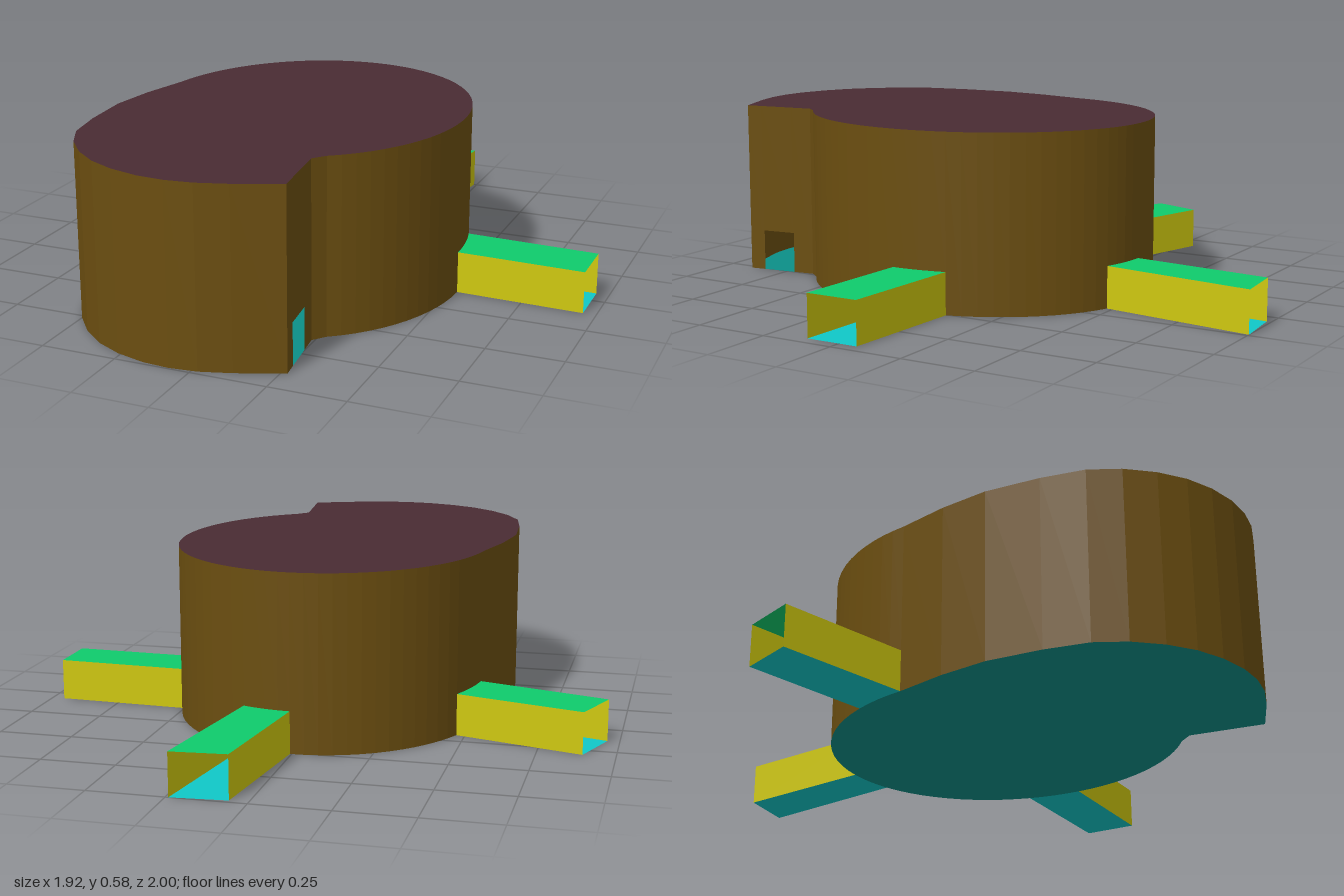
import * as THREE from 'three';

const HEIGHT = 0.585, PASSAGE = 0.14;

const paint = (color) => new THREE.MeshStandardMaterial({ color, side: THREE.DoubleSide, flatShading: true });

// Points [x, z] along the elliptical part of the plan, angle 0 at the back
function arc(from, to, steps) {
  const points = [];
  for (let i = 0; i <= steps; i++) {
    const t = from + (to - from) * i / steps;
    points.push([0.53 * Math.sin(t), 0.09 - 0.6 * Math.cos(t)]);
  }
  return points;
}

// Thin vertical strip following plan points
function strip(points, y0, y1) {
  const pos = [];
  for (let i = 0; i + 1 < points.length; i++) {
    const [ax, az] = points[i], [bx, bz] = points[i + 1];
    pos.push(ax, y0, az, ax, y1, az, bx, y1, bz, ax, y0, az, bx, y1, bz, bx, y0, bz);
  }
  const geometry = new THREE.BufferGeometry();
  geometry.setAttribute('position', new THREE.Float32BufferAttribute(pos, 3));
  geometry.computeVertexNormals();
  return geometry;
}

// Flat horizontal sheet with a plan outline
function sheet(points, y) {
  const shape = new THREE.Shape(points.map(([x, z]) => new THREE.Vector2(x, -z)));
  return new THREE.ShapeGeometry(shape).rotateX(-Math.PI / 2).translate(0, y, 0);
}

export function createModel() {
  const model = new THREE.Group();
  const wallPaint = paint(0x6b4e10), roofPaint = paint(0x4a2c33), floorPaint = paint(0x0c8f88);
  const passageWall = paint(0xcfc80f), passageRoof = paint(0x0fcb6c), passageFloor = paint(0x10c8c8);

  const add = (parent, name, geometry, material) => {
    const mesh = new THREE.Mesh(geometry, material);
    mesh.name = name;
    parent.add(mesh);
  };

  // Mouths where the passages meet the room
  const backMouth = arc(0.01, 0.317, 4);
  const leftMouth = arc(1.275, 1.587, 4);
  const rightMouth = arc(-1.42, -1.1, 4);

  // Plan outline in order, clockwise from above; open pieces start above a doorway
  const notch = [0.24, 0.645], tip = [0.27, 0.895];
  const doorA = [0.249, 0.72], doorB = [0.263, 0.84];
  const bulge = [
    tip, [0.12, 0.955], [0.02, 0.985], [-0.07, 0.995], [-0.16, 0.988], [-0.26, 0.96],
    [-0.35, 0.915], [-0.43, 0.85], [-0.5, 0.765], [-0.55, 0.665], [-0.575, 0.52],
    [-0.587, 0.335], [-0.565, 0.17], rightMouth[0],
  ];
  const pieces = [
    { points: backMouth, open: true },
    { points: arc(0.317, 1.275, 11) },
    { points: leftMouth, open: true },
    { points: [...arc(1.587, 2.6, 12), notch] },
    { points: [notch, doorA] },
    { points: [doorA, doorB], open: true },
    { points: [doorB, tip] },
    { points: bulge },
    { points: rightMouth, open: true },
    { points: arc(-1.1, 0.01, 13) },
  ];

  // Hollow room
  const room = new THREE.Group();
  room.name = 'room';
  for (const { points, open } of pieces) {
    add(room, open ? 'wallAboveDoorway' : 'wall', strip(points, open ? PASSAGE : 0, HEIGHT), wallPaint);
  }
  const outline = pieces.flatMap(({ points }) => points.slice(0, -1));
  add(room, 'roof', sheet(outline, HEIGHT), roofPaint);
  add(room, 'floor', sheet(outline, 0), floorPaint);
  model.add(room);

  // Open-ended passages: far corners follow on from the first and last mouth points
  const passages = [
    ['backPassage', backMouth, [0.06, -0.985], [0.24, -1]],
    ['leftPassage', leftMouth, [0.957, -0.065], [0.957, 0.115]],
    ['rightPassage', rightMouth, [-0.96, -0.13], [-0.895, -0.3]],
  ];
  for (const [name, mouth, farStart, farEnd] of passages) {
    const passage = new THREE.Group();
    passage.name = name;
    const plan = [...mouth, farEnd, farStart];
    add(passage, 'passageRoof', sheet(plan, PASSAGE), passageRoof);
    add(passage, 'passageFloor', sheet(plan, 0), passageFloor);
    add(passage, 'passageWall', strip([farStart, mouth[0]], 0, PASSAGE), passageWall);
    add(passage, 'passageWall', strip([mouth[mouth.length - 1], farEnd], 0, PASSAGE), passageWall);
    model.add(passage);
  }
  return model;
}
